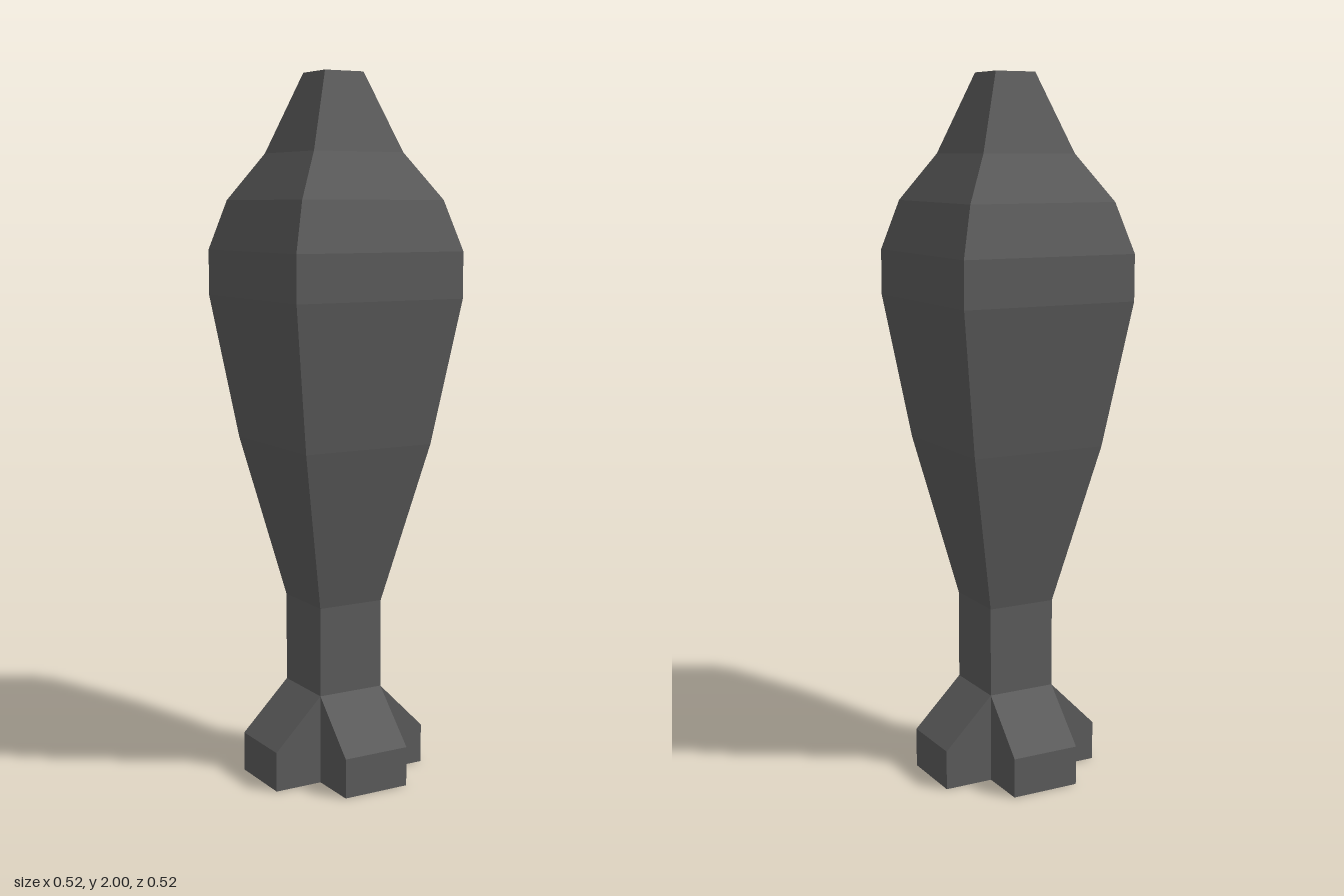
import * as THREE from 'three';

const darkGrey = new THREE.MeshStandardMaterial({ color: 0x5c5c5c });
darkGrey.name = 'darkGrey';

// Facet a geometry so every face is flat
function faceted(geometry) {
  const flat = geometry.index ? geometry.toNonIndexed() : geometry;
  flat.computeVertexNormals();
  return flat;
}

// Square column following a profile of [half width, height], bottom to top
function squareColumn(name, profile) {
  const points = profile.map(([w, y]) => new THREE.Vector2(w * Math.SQRT2, y));
  const geometry = new THREE.LatheGeometry(points, 4, Math.PI / 4);
  const mesh = new THREE.Mesh(faceted(geometry), darkGrey);
  mesh.name = name;
  return mesh;
}

export function createModel() {
  const model = new THREE.Group();
  model.name = 'finnedShell';

  // Tail stem, closed at the bottom
  model.add(squareColumn('stem', [[0, 0], [0.1, 0], [0.1, 0.51]]));

  // Swelling body
  model.add(squareColumn('body', [[0.1, 0.51], [0.2, 0.97], [0.262, 1.38], [0.262, 1.51]]));

  // Stepped nose with a flat tip
  model.add(squareColumn('nose', [[0.262, 1.51], [0.222, 1.65], [0.141, 1.78], [0.061, 2], [0, 2]]));

  // Four sloped tail fins around the stem
  const finShape = new THREE.Shape(
    [[0.1, 0], [0.242, 0], [0.242, 0.113], [0.1, 0.255]].map(([x, y]) => new THREE.Vector2(x, y))
  );
  const finGeometry = new THREE.ExtrudeGeometry(finShape, { depth: 0.2, bevelEnabled: false });
  finGeometry.translate(0, 0, -0.1);
  const fins = new THREE.Group();
  fins.name = 'tailFins';
  for (let i = 0; i < 4; i++) {
    const fin = new THREE.Mesh(finGeometry, darkGrey);
    fin.name = 'fin';
    fin.rotation.y = (i * Math.PI) / 2;
    fins.add(fin);
  }
  model.add(fins);

  return model;
}
